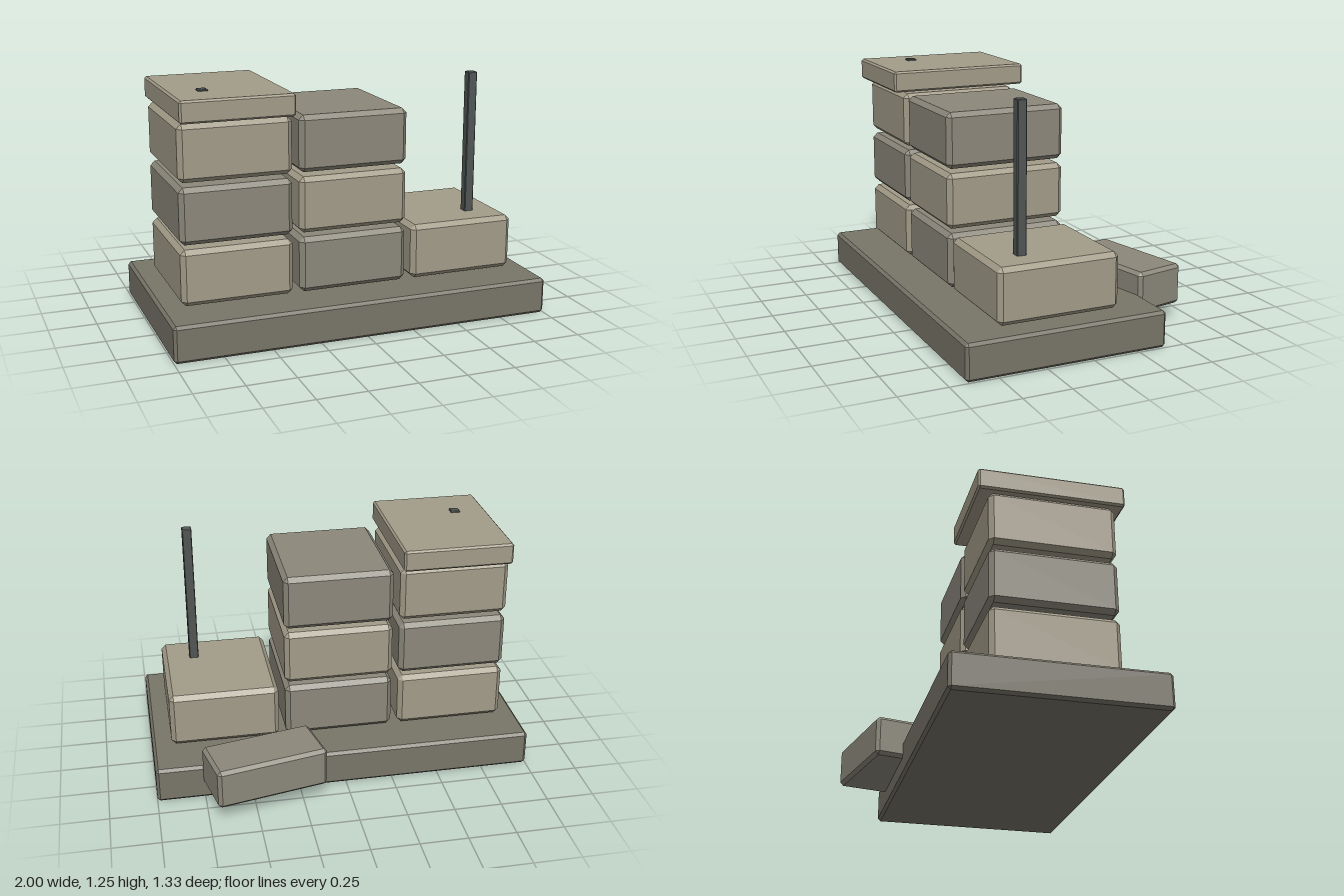
import * as THREE from 'three';
import { ConvexGeometry } from 'three/addons/geometries/ConvexGeometry.js';

const material = (color) => new THREE.MeshStandardMaterial({ color, flatShading: true });

// Box with every edge chamfered: three corner points at each of its eight corners
function chamferedBox(w, h, d, c) {
  const points = [];
  for (const sx of [-1, 1]) for (const sy of [-1, 1]) for (const sz of [-1, 1]) {
    for (const [a, b, e] of [[0, c, c], [c, 0, c], [c, c, 0]]) {
      points.push(new THREE.Vector3(sx * (w / 2 - a), sy * (h / 2 - b), sz * (d / 2 - e)));
    }
  }
  return new ConvexGeometry(points);
}

export function createModel() {
  const group = new THREE.Group();
  const tan = material(0xa39c89);
  const grey = material(0x8c887b);
  const stone = material(0x787568);
  const steel = material(0x505655);

  const add = (name, geometry, mat, x, y, z) => {
    const mesh = new THREE.Mesh(geometry, mat);
    mesh.name = name;
    mesh.position.set(x, y, z);
    group.add(mesh);
    return mesh;
  };

  // Foundation slab
  add('foundation', chamferedBox(2, 0.19, 1.065, 0.015), stone, 0, 0.095, 0.133);

  // Stepped wall of blocks, alternating in colour
  const blockGeometry = chamferedBox(0.577, 0.288, 0.645, 0.024);
  [3, 3, 1].forEach((count, column) => {
    for (let row = 0; row < count; row++) {
      add(`block${column + 1}_${row + 1}`, blockGeometry, (column + row) % 2 ? grey : tan,
        -0.615 + column * 0.613, 0.346 + row * 0.312, 0.134);
    }
  });

  // Capstone on the tall column
  add('capstone', chamferedBox(0.577, 0.112, 0.755, 0.01), tan, -0.615, 1.182, 0.134);

  // Reinforcing rods rising from the foundation
  const rodGeometry = chamferedBox(0.05, 1.15, 0.05, 0.004);
  for (const side of [-1, 1]) {
    add(side < 0 ? 'rightRod' : 'leftRod', rodGeometry, steel, side * 0.73, 0.672, 0.27);
  }

  // Loose block lying across the back edge
  const loose = add('looseBlock', chamferedBox(0.588, 0.213, 0.283, 0.018), grey, 0.443, 0.203, -0.467);
  loose.rotation.y = 0.21;

  return group;
}
